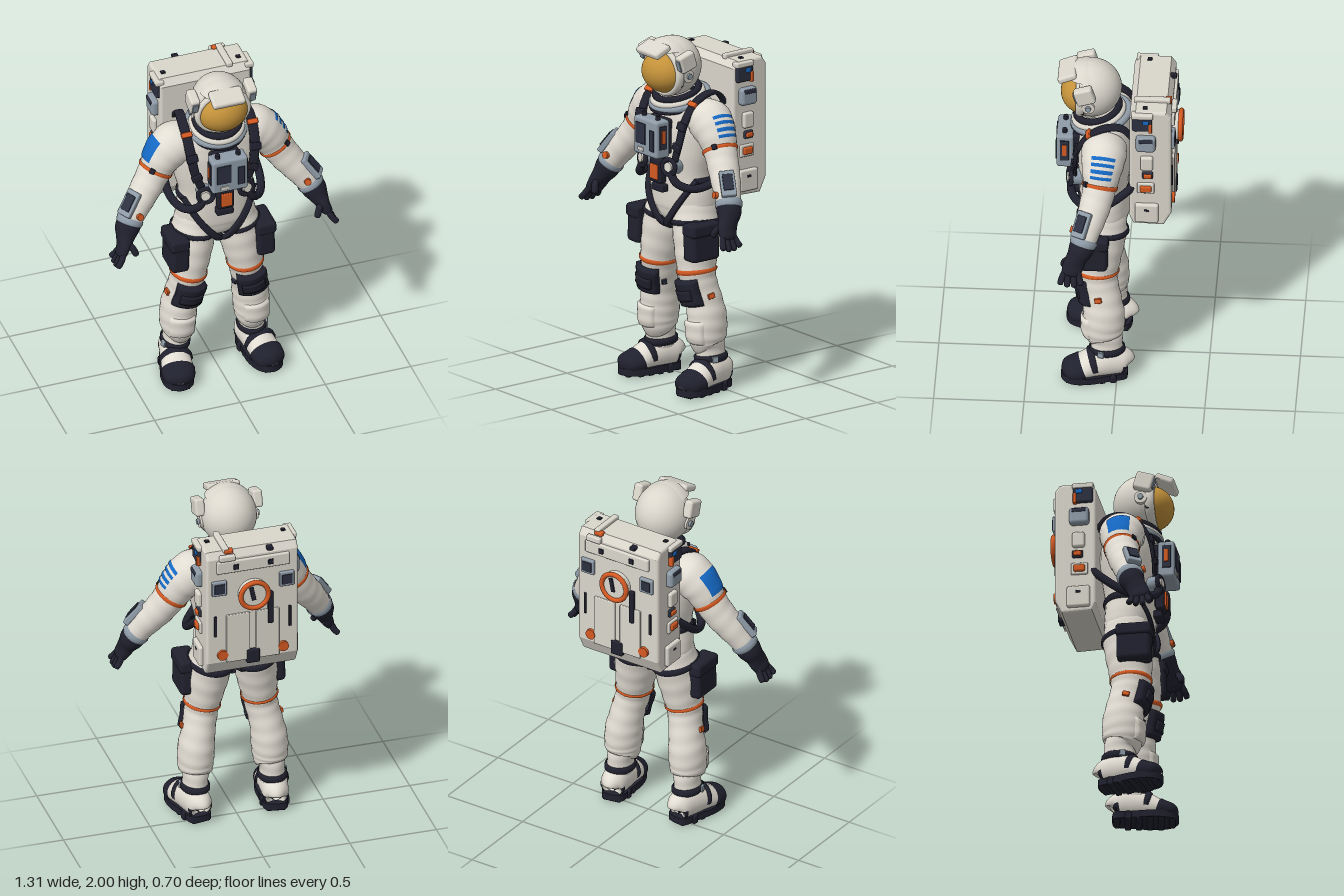
import * as THREE from 'three';
import { RoundedBoxGeometry } from 'three/addons/geometries/RoundedBoxGeometry.js';

const paint = (name, color) => new THREE.MeshStandardMaterial({ name, color, side: THREE.DoubleSide });
const suit = paint('suit white', 0xe2ddd3), shell = paint('shell white', 0xdad6cc), dark = paint('navy fabric', 0x20212e),
  orange = paint('orange', 0xd65a22), grey = paint('blue grey', 0x8f9ca8), gold = paint('visor gold', 0xc4923a),
  blue = paint('blue', 0x1468c4), black = paint('dark slate', 0x2c3040);
const PI = Math.PI, TAU = PI * 2;

// Limb: smooth path through [x, y, z, rx, rz]; k counts along the points.
// Angle 0 is the outer (+x) side, PI/2 the front of a hanging limb.
function limb(pts, { power = 1, wrinkle = 0 } = {}) {
  const n = pts.length - 1;
  const curve = f => new THREE.CatmullRomCurve3(pts.map(f), false, 'catmullrom', 0.5);
  const path = curve(p => new THREE.Vector3(p[0], p[1], p[2]));
  const size = curve(p => new THREE.Vector3(p[3], p[4] ?? p[3], 0));
  const bend = v => Math.sign(v) * Math.abs(v) ** power;
  const axes = k => {
    const t = path.getTangent(k / n), a = new THREE.Vector3(1, 0, 0);
    a.addScaledVector(t, -a.dot(t)).normalize();
    return { t, a, b: new THREE.Vector3().crossVectors(t, a) };
  };
  const at = (k, th, off = 0) => {
    const { a, b } = axes(k), r = size.getPoint(k / n), w = 1 + wrinkle * Math.sin(k * 8 + Math.sin(th));
    return path.getPoint(k / n).addScaledVector(a, bend(Math.cos(th)) * (r.x * w + off))
      .addScaledVector(b, bend(Math.sin(th)) * (r.y * w + off));
  };
  // Matrix on the surface: z points out, y points back up the limb
  const frame = (k, th, off = 0) => {
    const { t, a, b } = axes(k), y = t.clone().negate();
    const z = a.multiplyScalar(Math.cos(th)).addScaledVector(b, Math.sin(th));
    return new THREE.Matrix4().makeBasis(new THREE.Vector3().crossVectors(y, z), y, z).setPosition(at(k, th, off));
  };
  return { n, at, frame };
}

// Skin over part of a limb; raised skins drop to the limb along their border
function skin(l, k0 = 0, k1 = l.n, off = 0, t0 = 0, t1 = TAU) {
  const full = t1 - t0 > TAU - 0.01, rows = Math.max(4, Math.ceil((k1 - k0) * 7)), cols = full ? 32 : 14;
  const pos = [], idx = [], w = full ? cols : cols + 1;
  for (let i = 0; i <= rows; i++) for (let j = 0; j < w; j++) {
    const edge = i === 0 || i === rows || (!full && (j === 0 || j === cols));
    pos.push(...l.at(k0 + (k1 - k0) * i / rows, t0 + (t1 - t0) * j / cols, edge ? Math.min(off, 0.003) : off).toArray());
  }
  for (let i = 0; i < rows; i++) for (let j = 0; j < cols; j++) {
    const a = i * w + j, b = i * w + (j + 1) % w;
    idx.push(a, b, a + w, b, b + w, a + w);
  }
  const g = new THREE.BufferGeometry();
  g.setAttribute('position', new THREE.Float32BufferAttribute(pos, 3));
  g.setIndex(idx);
  g.computeVertexNormals();
  return g;
}

function mirror(geo) {
  const g = geo.clone().scale(-1, 1, 1), src = g.index ? [...g.index.array] : [...Array(g.attributes.position.count).keys()];
  for (let i = 0; i < src.length; i += 3) [src[i + 1], src[i + 2]] = [src[i + 2], src[i + 1]];
  return g.setIndex(src);
}
const place = (g, x, y, z, rx = 0, ry = 0, rz = 0) => g.rotateX(rx).rotateY(ry).rotateZ(rz).translate(x, y, z);
const box = (w, h, d, r = Math.min(w, h, d) * 0.25) => new RoundedBoxGeometry(w, h, d, 2, r);
const disc = (r, d, seg = 28) => new THREE.CylinderGeometry(r, r, d, seg).rotateX(PI / 2);
const ring = (r, t) => new THREE.TorusGeometry(r, t, 10, 36);
const ball = (x, y, z) => new THREE.SphereGeometry(1, 40, 28).scale(x, y, z);

export function createModel() {
  const root = new THREE.Group();
  root.name = 'astronaut';
  const put = (name, mat, geo) => {
    const m = new THREE.Mesh(geo, mat);
    m.name = name;
    root.add(m);
  };
  const both = (name, mat, geo) => {
    put(name + 'Left', mat, geo);
    put(name + 'Right', mat, mirror(geo));
  };

  // Torso
  const torso = limb([[0, 1.69, .11, .1, .1], [0, 1.645, .1, .18, .125], [0, 1.58, .085, .235, .14], [0, 1.48, .075, .262, .155],
    [0, 1.35, .08, .24, .15], [0, 1.22, .085, .21, .138], [0, 1.1, .08, .222, .138], [0, 1.02, .075, .215, .135],
    [0, .95, .08, .14, .11], [0, .91, .08, .03, .03]], { power: 0.88 });
  put('torso', suit, skin(torso));
  both('waistBelt', dark, skin(torso, 5.0, 5.35, .012, -1.4, .4));

  // Legs
  const leg = limb([[.11, 1.05, .08, .11, .12], [.125, .95, .085, .122, .135], [.145, .82, .1, .115, .128], [.163, .7, .11, .1, .115],
    [.175, .62, .105, .093, .105], [.195, .52, .085, .094, .105], [.21, .42, .075, .102, .115], [.215, .33, .075, .1, .115],
    [.215, .28, .07, .092, .105], [.22, .25, .06, .071, .09], [.225, .15, .055, .07, .088]], { wrinkle: 0.014 });
  both('leg', suit, skin(leg));
  both('thighStrap', dark, skin(leg, .85, 1.15, .01));
  both('kneeBand', orange, skin(leg, 3.05, 3.32, .007));
  both('kneePad', dark, skin(leg, 3.6, 5.2, .03, .6, 2.5));
  both('kneePadRidge', dark, skin(leg, 4.05, 4.8, .038, .95, 2.2));
  both('shinGuard', suit, skin(leg, 6.1, 7.7, .013, .75, 2.3));
  both('calfTag', orange, box(.04, .03, .016).applyMatrix4(leg.frame(4.8, .1, .004)));
  both('calfClip', black, box(.03, .03, .016).applyMatrix4(leg.frame(4.4, 2.75, .006)));
  both('ankleStrap', dark, skin(leg, 9.45, 9.85, .012));
  both('ankleBuckle', grey, box(.035, .035, .015).applyMatrix4(leg.frame(9.65, .3, .012)));

  // Thigh pouches
  both('pouch', dark, place(box(.105, .215, .19, .025), .25, .872, .145, 0, 0, .03));
  both('pouchFlap', dark, place(box(.112, .075, .2, .02), .253, .945, .145, 0, 0, .03));

  // Boots, built pointing forward and then toed out
  const toeOut = g => g.rotateY(.17).translate(.223, 0, 0);
  const boot = limb([[0, .09, -.055, .02, .03], [0, .1, -.04, .065, .075], [0, .11, .04, .078, .095], [0, .1, .13, .084, .085],
    [0, .075, .21, .088, .062], [0, .06, .275, .07, .05], [0, .05, .305, .015, .012]]);
  both('boot', suit, toeOut(skin(boot)));
  both('toeCap', dark, toeOut(skin(boot, 3.75, 6, .007)));
  both('heelCap', dark, toeOut(skin(boot, 0, 1.25, .006, PI, TAU)));
  both('instepStrap', dark, toeOut(skin(boot, 2.85, 3.2, .011, -.2, PI + .2)));
  const print = new THREE.Shape();
  print.moveTo(0, -.058);
  print.splineThru([[.06, -.04], [.075, .05], [.092, .17], [.072, .27], [0, .312], [-.072, .27], [-.092, .17], [-.075, .05], [-.06, -.04], [0, -.058]]
    .map(p => new THREE.Vector2(...p)));
  both('sole', dark, toeOut(new THREE.ExtrudeGeometry(print, { depth: .04, bevelEnabled: false }).rotateX(PI / 2).translate(0, .05, 0)));
  for (let i = 0; i < 6; i++)
    both('soleLug' + i, dark, toeOut(place(box(i === 0 || i === 5 ? .11 : .165, .05, .035), 0, .025, -.03 + i * .061)));

  // Arms
  const arm = limb([[.16, 1.56, .07, .1, .12], [.235, 1.545, .073, .125], [.3, 1.49, .08, .113], [.35, 1.41, .09, .094],
    [.405, 1.325, .11, .088], [.47, 1.24, .14, .08], [.53, 1.15, .17, .066], [.55, 1.11, .185, .058]], { wrinkle: 0.012 });
  both('arm', suit, skin(arm));
  both('armBand', orange, skin(arm, 2.88, 3.12, .007));
  both('armBuckle', dark, box(.03, .03, .014).applyMatrix4(arm.frame(3, 1, .006)));
  put('shoulderPatchRight', blue, mirror(skin(arm, 1.5, 2.6, .004, -.55, .6)));
  for (let i = 0; i < 4; i++) put('shoulderStripe' + i, blue, skin(arm, 1.5 + i * .29, 1.66 + i * .29, .004, -.55, .6));
  // Forearm display and wrist cuff
  both('forearmCase', grey, box(.085, .15, .035).applyMatrix4(arm.frame(5.15, .65, .004)));
  both('forearmScreen', black, box(.058, .095, .008, .003).applyMatrix4(arm.frame(5.12, .65, .024)));
  both('forearmButton', orange, disc(.019, .02).applyMatrix4(arm.frame(5.5, 1.75, .008)));
  both('wristCuff', grey, skin(arm, 5.75, 6.3, .01));

  // Gloves
  both('glove', dark, skin(limb([[.53, 1.15, .17, .071], [.55, 1.11, .185, .068], [.567, 1.07, .205, .052, .058],
    [.583, 1.03, .222, .038, .06], [.602, .99, .235, .03, .052], [.61, .97, .24, .01, .03]])));
  const finger = (name, a, b, c, r) => both(name, dark, skin(limb([[...a, r], [...b, r], [...c, r * .9],
    [...c.map((v, i) => v + (v - b[i]) * .25), r * .2]])));
  for (let i = 0; i < 4; i++) {
    const s = i - 1.5, drop = Math.abs(s) * .012;
    finger('finger' + i, [.6, 1.0, .232 + s * .024], [.62, .965, .235 + s * .033], [.64, .925 + drop, .235 + s * .038], .0175);
  }
  finger('thumb', [.57, 1.06, .235], [.545, 1.03, .268], [.53, .995, .28], .019);

  // Helmet
  const dome = ball(.157, .168, .168).translate(0, 1.83, .155), p = dome.attributes.position;
  for (let i = 0; i < p.count; i++) p.setZ(i, Math.min(p.getZ(i), .215));
  dome.computeVertexNormals();
  put('helmet', shell, dome);
  put('visor', gold, ball(.145, .12, .125).translate(0, 1.805, .2));
  put('visorRim', shell, ring(.145, .02).scale(1, .86, 1.4).translate(0, 1.808, .21));
  put('hood', shell, new THREE.SphereGeometry(1, 36, 12, 0, TAU, 0, .85).scale(.165, .17, .155).translate(0, 1.827, .185));
  put('brow', shell, place(box(.19, .04, .11, .015), 0, 1.945, .285, .4));
  both('lampCase', shell, place(box(.055, .1, .105, .014), .167, 1.893, .185, .3));
  both('lampLens', grey, place(box(.034, .062, .008, .003), .168, 1.877, .239, .3));
  both('earDisc', shell, place(disc(.036, .03), .152, 1.805, .165, 0, PI / 2));
  both('earKnob', grey, place(disc(.016, .02), .17, 1.805, .165, 0, PI / 2));
  both('jawBolt', dark, place(disc(.012, .02), .138, 1.755, .2, 0, PI / 2));

  // Neck rings, lower at the front
  const tilt = PI / 2 + .27;
  put('neckRing', dark, place(ring(.122, .02), 0, 1.682, .12, tilt));
  put('neckSeal', shell, place(ring(.137, .02), 0, 1.655, .115, tilt));
  put('collar', grey, place(ring(.158, .02), 0, 1.638, .1, tilt));
  put('collarTrim', dark, place(ring(.15, .014), 0, 1.622, .115, tilt));

  // Harness
  const strap = limb([[.17, 1.58, -.1, .026, .01], [.175, 1.675, -.03, .026, .011], [.188, 1.69, .06, .027, .012], [.193, 1.645, .15, .027, .012],
    [.187, 1.55, .213, .027, .012], [.17, 1.43, .238, .025, .011], [.13, 1.32, .238, .022, .01]], { power: 0.5 });
  both('shoulderStrap', dark, skin(strap));
  both('strapClip', orange, box(.062, .03, .02).applyMatrix4(strap.frame(3.05, PI / 2, 0)));
  both('strapSlider', dark, box(.066, .045, .022).applyMatrix4(strap.frame(4.2, PI / 2, 0)));
  both('strapTab', dark, box(.062, .04, .022).applyMatrix4(strap.frame(5.2, PI / 2, 0)));
  both('crotchStrap', dark, skin(limb([[.205, 1.21, .14, .018, .012], [.15, 1.1, .203, .018, .012], [.08, 1.0, .222, .019, .012],
    [.015, .925, .2, .018, .014], [.005, .9, .1, .016, .012], [.03, .93, -.03, .016, .012]], { power: 0.5 })));
  const hose = new THREE.CatmullRomCurve3([[.115, 1.28, .26], [.16, 1.21, .255], [.225, 1.175, .19], [.265, 1.2, .08], [.26, 1.29, -.04], [.24, 1.35, -.1]]
    .map(q => new THREE.Vector3(...q)));
  both('hose', dark, new THREE.TubeGeometry(hose, 36, .023, 12));
  both('hoseSocket', grey, place(disc(.046, .06), .115, 1.29, .235, -.1, .25));
  both('hoseRing', dark, place(ring(.043, .013), .118, 1.29, .268, -.1, .25));
  both('hoseCap', shell, place(disc(.026, .03), .12, 1.292, .268, -.1, .25));

  // Chest unit and buckle
  put('chestMount', dark, box(.17, .2, .07).translate(0, 1.45, .235));
  put('chestUnit', grey, box(.21, .215, .095, .016).translate(0, 1.448, .297));
  put('chestScreen', black, box(.085, .12, .008, .003).translate(-.037, 1.465, .346));
  put('chestPanel', black, box(.04, .12, .008, .003).translate(.062, 1.44, .346));
  put('chestLabel', shell, box(.05, .02, .008, .003).translate(-.035, 1.375, .346));
  both('chestKnob', dark, place(disc(.014, .03), .06, 1.562, .3, PI / 2));
  both('chestSidePlate', black, box(.008, .135, .05, .003).translate(.107, 1.46, .3));
  both('chestSideLight', orange, box(.014, .075, .026).translate(.109, 1.465, .3));
  put('buckleStrap', dark, box(.07, .16, .03).translate(0, 1.28, .235));
  put('buckleFrame', dark, box(.095, .14, .05).translate(0, 1.245, .252));
  put('buckle', orange, box(.065, .085, .02).translate(0, 1.24, .279));
  put('buckleTail', dark, box(.1, .045, .05).translate(0, 1.145, .24));

  // Backpack from its side outline
  const side = new THREE.Shape([[.085, 1.82], [.11, 1.85], [.265, 1.85], [.285, 1.82], [.285, 1.17], [.25, 1.1], [.1, 1.105], [.085, 1.14]]
    .map(q => new THREE.Vector2(...q)));
  put('backpack', shell, new THREE.ExtrudeGeometry(side, { depth: .5, bevelThickness: .015, bevelSize: .015, bevelSegments: 3 })
    .translate(0, 0, -.25).rotateY(PI / 2));
  // Side equipment: name, material, y, z, height, depth, thickness
  [['topBay', black, 1.79, -.14, .09, .11, .045], ['topBayLight', blue, 1.81, -.16, .025, .035, .056], ['topBayCap', shell, 1.845, -.14, .03, .12, .05],
    ['topBayTag', orange, 1.77, -.185, .06, .02, .056], ['ventBox', grey, 1.66, -.16, .1, .11, .08], ['ventSlot', black, 1.69, -.16, .025, .08, .086],
    ['valveBox', shell, 1.52, -.165, .09, .07, .05], ['valveTag', orange, 1.435, -.17, .028, .045, .055], ['valveBase', black, 1.435, -.17, .045, .06, .035],
    ['portTag', orange, 1.345, -.16, .042, .065, .055], ['portBase', shell, 1.345, -.16, .07, .095, .03], ['lowerPanel', shell, 1.175, -.165, .125, .13, .05],
    ['lowerSlot', dark, 1.2, -.165, .015, .03, .054]]
    .forEach(([name, mat, y, z, h, d, t]) => both(name, mat, box(t, h, d).translate(.262, y, z)));
  // Back face
  put('gaugeBase', shell, disc(.085, .05).translate(0, 1.588, -.315));
  put('gaugeRing', orange, ring(.08, .014).translate(0, 1.588, -.34));
  put('gaugeNeedle', dark, place(box(.024, .085, .01), .012, 1.6, -.342, 0, 0, -.2));
  put('backHandle', dark, box(.03, .2, .025).translate(-.1, 1.48, -.31));
  put('topRail', shell, box(.42, .075, .03).translate(0, 1.775, -.302));
  both('railClip', dark, box(.03, .03, .012).translate(.1, 1.775, -.319));
  both('backDoor', shell, box(.135, .3, .02).translate(.085, 1.315, -.302));
  put('latch', dark, box(.075, .085, .03).translate(0, 1.185, -.305));
  both('backVent', grey, box(.085, .09, .025).translate(.195, 1.645, -.305));
  both('backVentGrille', black, box(.06, .06, .008, .003).translate(.195, 1.645, -.318));
  both('backSlot', dark, box(.014, .13, .01).translate(.215, 1.4, -.302));
  both('backLight', orange, disc(.03, .024).translate(.175, 1.215, -.304));
  // Top of the pack
  put('topBar', shell, box(.035, .03, .2).translate(.15, 1.87, -.19));
  put('topTag', orange, box(.05, .025, .035).translate(.135, 1.862, -.28));
  put('topHandle', shell, box(.09, .035, .03).translate(.15, 1.835, -.312));
  put('topLatch', dark, box(.035, .02, .045).translate(-.1, 1.85, -.29));
  both('topStud', dark, box(.025, .014, .025).translate(.22, 1.866, -.155));
  return root;
}
